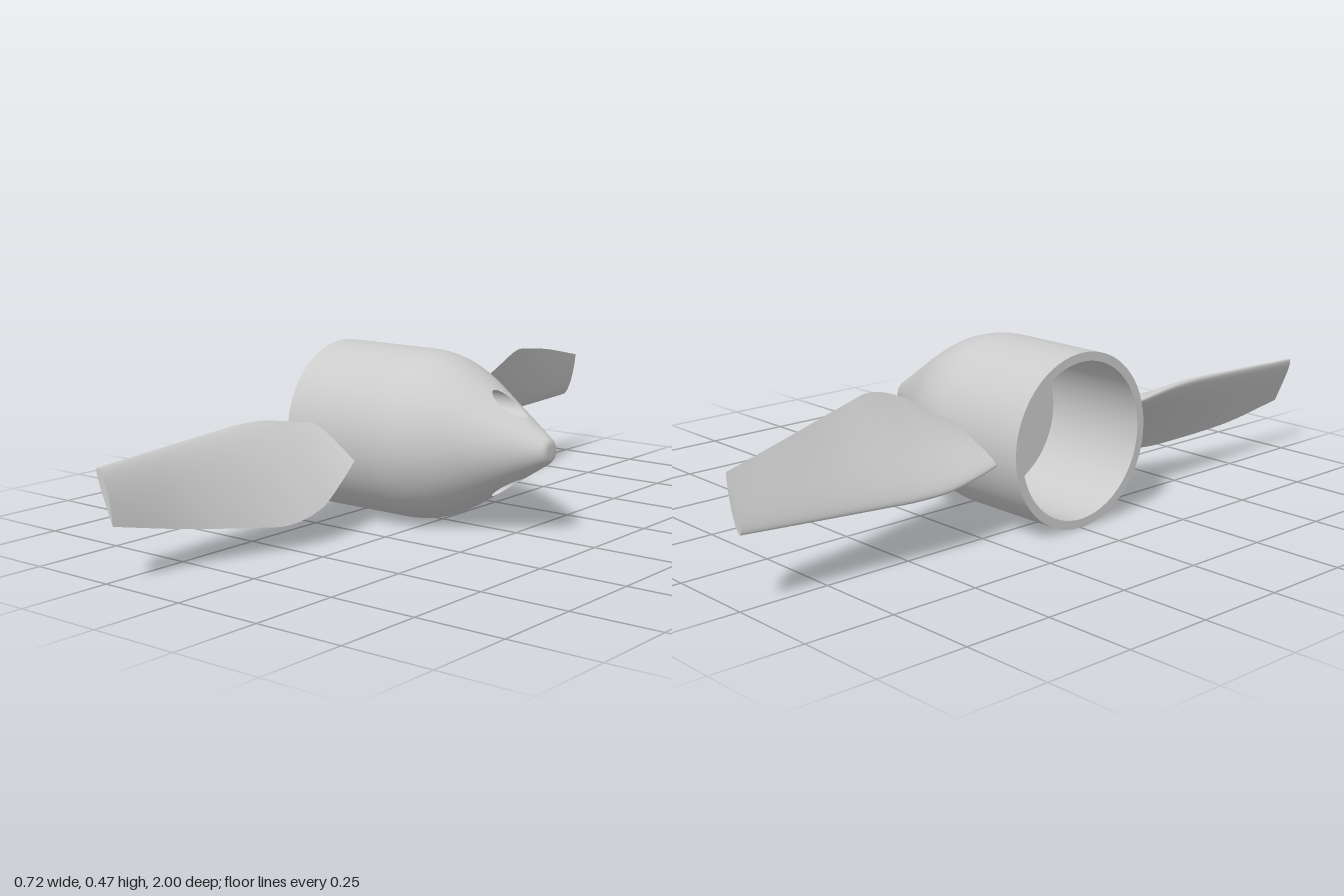
import * as THREE from 'three';

const mat = new THREE.MeshStandardMaterial({ color: 0xcccccc, side: THREE.DoubleSide });
const R = 0.237, INNER = 0.213, BACK = -0.361, CAVITY_END = -0.04;
const HOLE_AT = 0.113, BORE = 0.033, BOLT = 0.017, BORE_FLOOR = 0.1;
const R_MIN = 0.07, R_MAX = 0.16, SECTOR = 0.5;

// Straight conical part of the nose: x as a function of radius
const coneX = (r) => 0.17 + (0.149 - r) * 1.6;
const conePoint = (y, z) => new THREE.Vector3(coneX(Math.hypot(y, z)), y, z);

// Surface from a function of (u, v); it faces dU x dV
function grid(nu, nv, fn) {
  const pos = [], index = [];
  for (let i = 0; i <= nu; i++) {
    for (let j = 0; j <= nv; j++) pos.push(...fn(i / nu, j / nv).toArray());
  }
  for (let i = 0; i < nu; i++) {
    for (let j = 0; j < nv; j++) {
      const a = i * (nv + 1) + j, b = a + nv + 1;
      index.push(a, b, a + 1, b, b + 1, a + 1);
    }
  }
  const g = new THREE.BufferGeometry();
  g.setAttribute('position', new THREE.Float32BufferAttribute(pos, 3));
  g.setIndex(index);
  g.computeVertexNormals();
  return g;
}

// Exact cone normals, so the patches join without visible seams
function coneNormals(g) {
  const p = g.attributes.position, n = new THREE.Vector3();
  for (let i = 0; i < p.count; i++) {
    const y = p.getY(i), z = p.getZ(i), r = Math.hypot(y, z);
    n.set(1, (1.6 * y) / r, (1.6 * z) / r).normalize();
    g.attributes.normal.setXYZ(i, n.x, n.y, n.z);
  }
  return g;
}

// Revolve (radius, x) points around the x axis
function lathe(points) {
  const g = new THREE.LatheGeometry(points.map(([r, x]) => new THREE.Vector2(r, x)), 96);
  return g.rotateZ(-Math.PI / 2);
}

function add(parent, name, geometry) {
  const mesh = new THREE.Mesh(geometry, mat);
  mesh.name = name;
  parent.add(mesh);
  return mesh;
}

// Half of the cone band: plain sector plus a sector pierced by a counterbored hole
function holeHalf(name) {
  const half = new THREE.Group();
  half.name = name;

  add(half, 'noseSide', coneNormals(grid(4, 40, (u, v) => {
    const r = R_MIN + (R_MAX - R_MIN) * u;
    const a = SECTOR + (Math.PI - 2 * SECTOR) * v;
    return conePoint(r * Math.cos(a), r * Math.sin(a));
  })));

  // Lines run from the hole's rim to the sector's border
  const corners = [[R_MAX, -SECTOR], [R_MAX, SECTOR], [R_MIN, SECTOR], [R_MIN, -SECTOR]];
  add(half, 'nosePierced', coneNormals(grid(6, 64, (u, v) => {
    const side = Math.floor(v * 4) % 4, f = v === 1 ? 0 : v * 4 - side;
    const [r0, a0] = corners[side], [r1, a1] = corners[(side + 1) % 4];
    const r = r0 + (r1 - r0) * f, a = a0 + (a1 - a0) * f;
    const y = r * Math.cos(a), z = r * Math.sin(a);
    const t = Math.atan2(z, y - HOLE_AT);
    const hy = HOLE_AT + BORE * Math.cos(t), hz = BORE * Math.sin(t);
    return conePoint(hy + (y - hy) * u, hz + (z - hz) * u);
  })));

  // Counterbore wall, its floor and the bolt hole behind it
  add(half, 'boreWall', grid(48, 1, (u, v) => {
    const t = -u * Math.PI * 2;
    const p = conePoint(HOLE_AT + BORE * Math.cos(t), BORE * Math.sin(t));
    if (v === 0) p.x = BORE_FLOOR;
    return p;
  }));
  add(half, 'boreFloor', new THREE.RingGeometry(BOLT, BORE, 48).rotateY(Math.PI / 2))
    .position.set(BORE_FLOOR, HOLE_AT, 0);
  const len = BORE_FLOOR - CAVITY_END;
  add(half, 'boltHole', new THREE.CylinderGeometry(BOLT, BOLT, len, 32, 1, true).rotateZ(Math.PI / 2))
    .position.set(CAVITY_END + len / 2, HOLE_AT, 0);
  return half;
}

// Blade lofted between a leading and a trailing edge curve, with a teardrop section
function blade(name) {
  const g = new THREE.Group();
  g.name = name;
  // z, leading x, leading y, trailing x, trailing y
  const stations = [
    [0.222, -0.285, 0.272, -0.125, 0.195],
    [0.3, -0.298, 0.285, -0.105, 0.15],
    [0.4, -0.303, 0.302, -0.091, 0.095],
    [0.5, -0.298, 0.307, -0.107, 0.068],
    [0.6, -0.29, 0.304, -0.138, 0.075],
    [0.8, -0.277, 0.295, -0.19, 0.105],
    [1, -0.265, 0.285, -0.217, 0.147],
  ];
  const curve = (k) => new THREE.CatmullRomCurve3(
    stations.map((s) => new THREE.Vector3(s[k], s[k + 1] - R, s[0])), false, 'catmullrom');
  const lead = curve(1), trail = curve(3);

  const section = (u, v) => {
    const a = lead.getPoint(u), b = trail.getPoint(u);
    const w = v * 2 - 1; // from trailing edge around the nose and back
    const s = w * w;
    const chord = b.clone().sub(a);
    const across = new THREE.Vector3(-chord.y, chord.x, 0).multiplyScalar(0.14);
    const half = 5 * (0.2969 * Math.sqrt(s) - 0.126 * s - 0.3516 * s * s
      + 0.2843 * s ** 3 - 0.1036 * s ** 4);
    const camber = 0.6 * s * (1 - s);
    return a.addScaledVector(chord, s).addScaledVector(across, camber - Math.sign(w) * half);
  };
  add(g, 'bladeSkin', grid(48, 48, section));

  const centre = lead.getPoint(1).lerp(trail.getPoint(1), 0.4);
  add(g, 'bladeTip', grid(1, 48, (u, v) => section(1, v).lerp(centre, u)));
  return g;
}

export function createModel() {
  const model = new THREE.Group();
  model.name = 'propeller';
  const rotor = new THREE.Group();
  rotor.name = 'rotor';
  rotor.position.y = R;
  model.add(rotor);

  // Hub: straight sleeve blending into the cone, then the blunt tip
  const shoulder = new THREE.CubicBezierCurve(
    new THREE.Vector2(R, -0.07), new THREE.Vector2(R, 0.02),
    new THREE.Vector2(R_MAX + 0.045, coneX(R_MAX + 0.045)), new THREE.Vector2(R_MAX, coneX(R_MAX)));
  add(rotor, 'hubBody', lathe([[R, BACK], ...shoulder.getPoints(24).map((p) => p.toArray())]));
  add(rotor, 'noseTip', lathe([
    [R_MIN, coneX(R_MIN)], [0.05, coneX(0.05)], [0.036, coneX(0.036)],
    [0.03, 0.3565], [0.024, 0.3595], [0.017, 0.361], [0, 0.361],
  ]));
  for (const [i, name] of ['upperNose', 'lowerNose'].entries()) {
    const half = holeHalf(name);
    half.rotation.x = i * Math.PI;
    rotor.add(half);
  }

  // Open back with its rim, inner wall and pierced end wall
  add(rotor, 'backRim', lathe([[INNER, BACK], [R, BACK]]));
  add(rotor, 'cavityWall', lathe([[INNER, CAVITY_END], [INNER, BACK]]));
  const disc = new THREE.Shape().absarc(0, 0, INNER, 0, Math.PI * 2);
  for (const s of [1, -1]) {
    disc.holes.push(new THREE.Path().absarc(0, s * HOLE_AT, BOLT, 0, Math.PI * 2, true));
  }
  add(rotor, 'cavityEnd', new THREE.ShapeGeometry(disc, 48).rotateY(-Math.PI / 2))
    .position.x = CAVITY_END;

  // Two blades, half a turn apart
  for (const [i, name] of ['frontBlade', 'backBlade'].entries()) {
    const b = blade(name);
    b.rotation.x = i * Math.PI;
    rotor.add(b);
  }
  return model;
}
